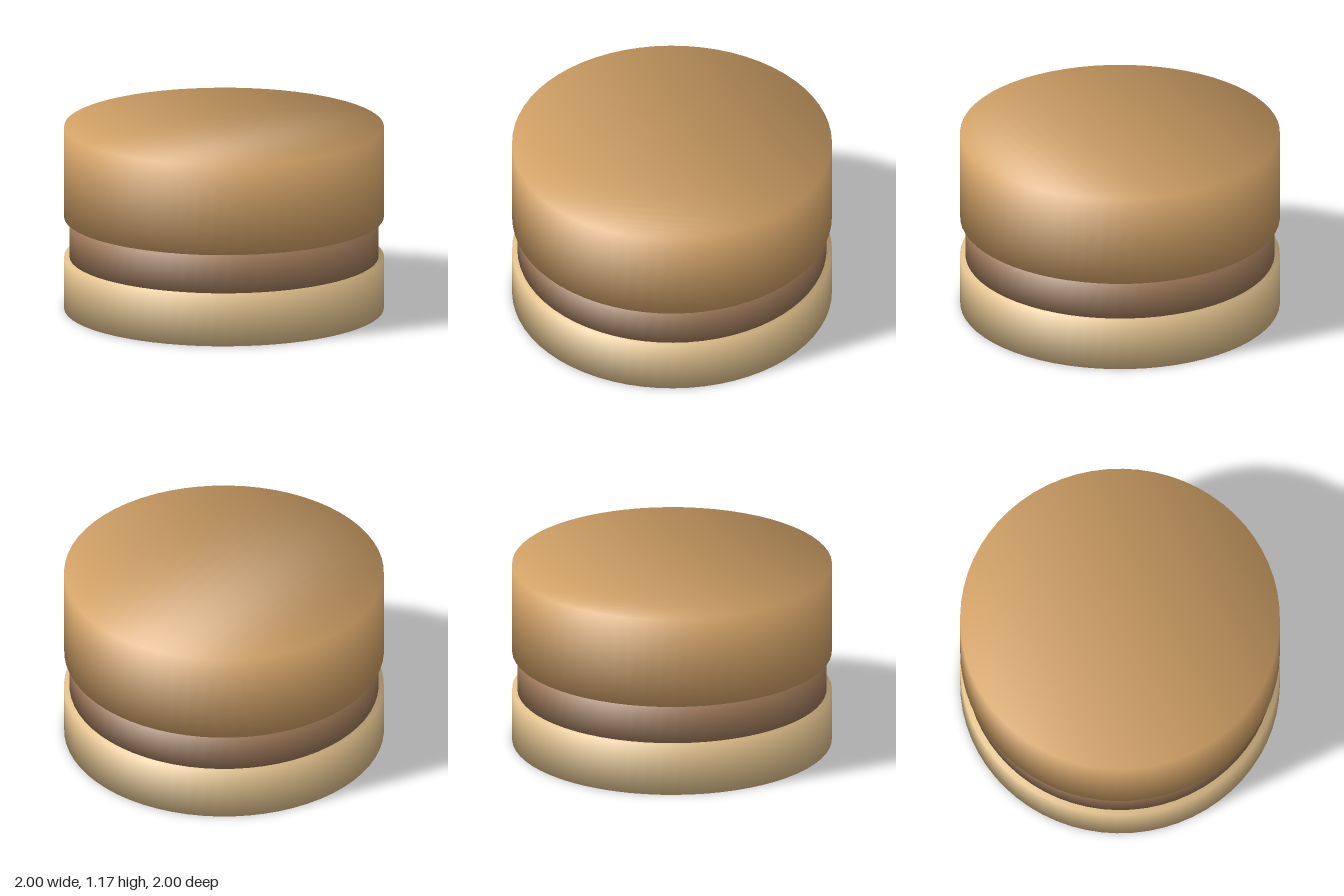
import * as THREE from 'three';

const SEGMENTS = 64;

// Flat-capped disc whose rim normals are shared by cap and side, for a soft pillowy look
function softDisc(radius, y0, y1) {
  const pos = [], nor = [], index = [];
  const s = Math.SQRT1_2, n = SEGMENTS;
  for (const [y, ny] of [[y0, -s], [y1, s]]) {
    for (let i = 0; i < n; i++) {
      const a = (i / n) * Math.PI * 2;
      const x = Math.sin(a), z = Math.cos(a);
      pos.push(x * radius, y, z * radius);
      nor.push(x * s, ny, z * s);
    }
  }
  // side wall
  for (let i = 0; i < n; i++) {
    const j = (i + 1) % n;
    index.push(i, j, n + j, i, n + j, n + i);
  }
  // caps, as strips running rim to rim
  for (let i = 0; i < n / 2; i++) {
    const a = i, b = i + 1, c = n - 1 - i, d = (n - i) % n;
    const tris = [[a, b, c], [a, c, d]];
    for (const [p, q, r] of tris) {
      if (p === q || q === r || p === r) continue;
      index.push(n + p, n + q, n + r, p, r, q);
    }
  }
  const geo = new THREE.BufferGeometry();
  geo.setAttribute('position', new THREE.Float32BufferAttribute(pos, 3));
  geo.setAttribute('normal', new THREE.Float32BufferAttribute(nor, 3));
  geo.setIndex(index);
  return geo;
}

export function createModel() {
  const group = new THREE.Group();
  group.name = 'burger';

  // name, colour name, colour, radius, bottom, top
  const layers = [
    ['bottomBun', 'pale bun', 0xdfbf8b, 1, 0, 0.333],
    ['patty', 'meat brown', 0xa07a5a, 0.967, 0.333, 0.587],
    ['topBun', 'toasted bun', 0xd2a267, 1, 0.587, 1.17],
  ];
  for (const [name, colourName, color, radius, y0, y1] of layers) {
    const material = new THREE.MeshStandardMaterial({ color });
    material.name = colourName;
    const mesh = new THREE.Mesh(softDisc(radius, y0, y1), material);
    mesh.name = name;
    group.add(mesh);
  }
  return group;
}
